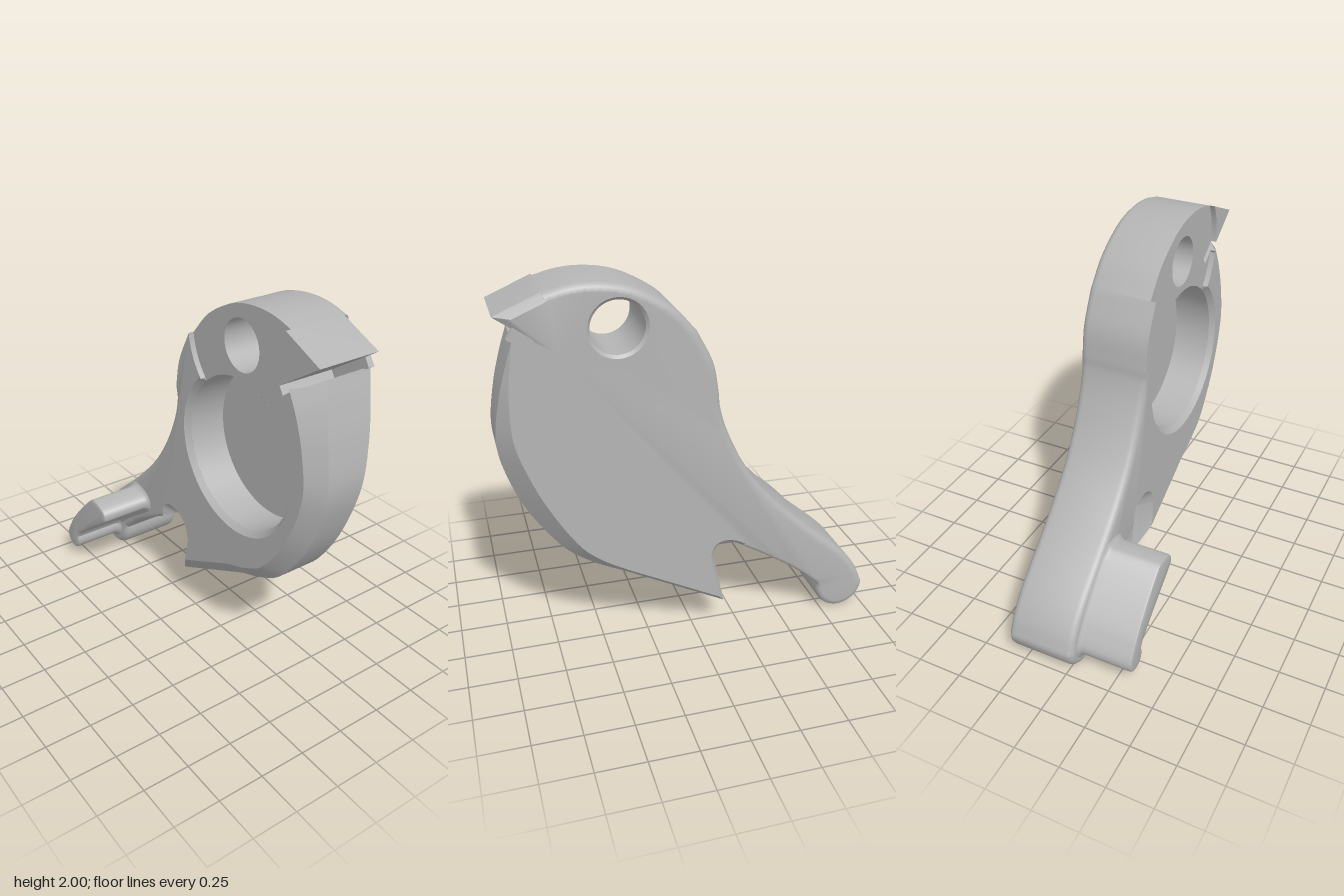
import * as THREE from 'three';
import { mergeGeometries, toCreasedNormals } from 'three/addons/utils/BufferGeometryUtils.js';

const FRONT = 0.04, BACK = -0.345, SUNK = 0.01, SLOT_FLOOR = -0.31;
const V = (x, y, z) => new THREE.Vector3(x, y, z);

// Points on an arc at depth z, angles in degrees
function arc([cx, cy], r, a0, a1, z, n = 24) {
  return Array.from({ length: n + 1 }, (_, i) => {
    const a = THREE.MathUtils.degToRad(a0 + (a1 - a0) * i / n);
    return V(cx + r * Math.cos(a), cy + r * Math.sin(a), z);
  });
}

// Surface through rings listed front to back (counter-clockwise rings face outward)
function loft(rings) {
  const pos = [];
  for (let k = 0; k + 1 < rings.length; k++) {
    const p = rings[k], q = rings[k + 1];
    for (let i = 0; i + 1 < p.length; i++) {
      for (const t of [[p[i], q[i], p[i + 1]], [p[i + 1], q[i], q[i + 1]]]) {
        const area = t[1].clone().sub(t[0]).cross(t[2].clone().sub(t[0])).length();
        if (area > 1e-9) t.forEach(v => pos.push(v.x, v.y, v.z));
      }
    }
  }
  return new THREE.BufferGeometry().setAttribute('position', new THREE.Float32BufferAttribute(pos, 3));
}

// Flat face inside a loop of points
function cap(points, z, holes = [], facingBack = false) {
  const clean = points.filter((p, i) => {
    const q = points[(i + 1) % points.length];
    return Math.hypot(p.x - q.x, p.y - q.y) > 1e-5;
  });
  const shape = new THREE.Shape(clean.map(p => new THREE.Vector2(p.x, p.y)));
  shape.holes = holes.map(h => new THREE.Path(h.map(p => new THREE.Vector2(p.x, p.y))));
  const g = new THREE.ShapeGeometry(shape);
  if (facingBack) g.index.array.reverse();
  return g.translate(0, 0, z);
}

// Merge pieces and keep hard edges sharp
function solid(name, pieces, material) {
  const plain = pieces.map(g => {
    const n = g.index ? g.toNonIndexed() : g;
    n.deleteAttribute('uv');
    n.deleteAttribute('normal');
    return n;
  });
  const mesh = new THREE.Mesh(toCreasedNormals(mergeGeometries(plain), 0.62), material);
  mesh.name = name;
  return mesh;
}

// Smooth run through [x, y, front inset, back inset]; n = 0 keeps the points as they are
function run(pts, n, round = false, top = FRONT) {
  const make = j => new THREE.CatmullRomCurve3(pts.map(p => V(p[0], p[1], p[j] ?? 0)), false, 'catmullrom', 0.5);
  const cf = make(2), cb = make(3), steps = n || pts.length - 1;
  return Array.from({ length: steps + 1 }, (_, i) => {
    const p = cf.getPoint(i / steps), b = cb.getPoint(i / steps);
    return { x: p.x, y: p.y, f: Math.max(0, p.z), b: Math.max(0, b.z), round, top };
  });
}

// Mitred inward directions round a closed outline
function addInward(o) {
  const N = o.length;
  const step = (i, s) => {
    let j = i;
    do j = (j + s + N) % N; while (Math.hypot(o[j].x - o[i].x, o[j].y - o[i].y) < 1e-5);
    return new THREE.Vector2(o[j].x - o[i].x, o[j].y - o[i].y).normalize();
  };
  o.forEach((p, i) => {
    const d1 = step(i, -1).negate(), d2 = step(i, 1);
    const k = Math.max(0.3, 1 + d1.dot(d2));
    p.inward ??= [-(d1.y + d2.y) / k, (d1.x + d2.x) / k];
  });
}
const inset = (p, d, z) => V(p.x + p.inward[0] * d, p.y + p.inward[1] * d, z);

export function createModel() {
  const grey = new THREE.MeshStandardMaterial({ color: 0xb4b4b4, side: THREE.DoubleSide });
  grey.name = 'grey';
  const group = new THREE.Group();
  group.name = 'lever';

  // Outline runs, counter-clockwise from the left of the head
  const armTop = run([[-0.005, 1.72, 0, 0.04], [-0.09, 1.55, 0, 0.04], [-0.12, 1.4, 0, 0.04], [-0.13, 1.31, 0.03, 0.04],
    [-0.17, 1.175, 0.04, 0.04], [-0.26, 0.985, 0.04, 0.04], [-0.39, 0.8, 0.04, 0.04], [-0.6, 0.59, 0.04, 0.04],
    [-0.84, 0.38, 0.04, 0.04], [-0.95, 0.25, 0.04, 0.04], [-1, 0.14, 0.035, 0.035]], 60, true);
  const armEnd = arc([-0.86, 0.14], 0.14, 180, 370, 0, 24)
    .map(p => ({ x: p.x, y: p.y, f: 0.035, b: 0.03, round: true, top: FRONT }));
  const armUnder = run([[-0.722, 0.164, 0.03, 0.025], [-0.58, 0.29, 0.025, 0.02], [-0.4, 0.41, 0.02, 0.02],
    [-0.27, 0.488, 0.02, 0.02]], 18, true);
  const notch = run([[-0.27, 0.488, 0.02, 0.02], [-0.22, 0.514, 0.075, 0.02], [-0.165, 0.525, 0.08, 0.02],
    [-0.12, 0.505, 0.08, 0.02], [-0.103, 0.455, 0.08, 0.02]], 20);
  const spur = run([[-0.103, 0.455, 0.08, 0.02], [-0.165, 0.155, 0.08, 0.02], [0.38, 0.435, 0.08, 0.02]], 0);
  const belly = run([[0.38, 0.435, 0.08, 0.02], [0.55, 0.505, 0.08, 0.05], [0.7, 0.605, 0.08, 0.085],
    [0.86, 0.825, 0.08, 0.105], [0.955, 1.05, 0.08, 0.1], [0.99, 1.24, 0.08, 0.08], [0.965, 1.45, 0.085, 0.045],
    [0.925, 1.62, 0.1, 0.02], [0.885, 1.756, 0.125, 0]], 56);
  belly[belly.length - 1].inward = [-0.837, -0.547];
  const slotIn = run([[0.778, 1.686], [0.778, 1.686]], 0);
  const slotEnd = run([[0.778, 1.686], [0.7, 1.635], [0.675, 1.675], [0.778, 1.742]], 0, false, SUNK);
  const beak = run([[0.778, 1.742, 0, 0], [0.965, 1.865, 0, 0.04], [0.734, 1.965, 0, 0.04]], 0);
  const headTop = run([[0.734, 1.965, 0, 0.04], [0.63, 1.991, 0, 0.04], [0.52, 2, 0, 0.04], [0.39, 1.986, 0, 0.04],
    [0.27, 1.945, 0, 0.04], [0.115, 1.85, 0, 0.04], [-0.005, 1.72, 0, 0.04]], 40, true, SUNK);

  const lower = [...armTop, ...armEnd, ...armUnder, ...notch, ...spur, ...belly, ...slotIn];
  const outline = [...lower, ...slotEnd, ...beak, ...headTop];
  addInward(outline);

  // Edge profile: flat chamfer or quarter round, t from face (0) to side wall (1)
  const edge = (p, t) => p.round
    ? [1 - Math.sin(t * Math.PI / 2), 1 - Math.cos(t * Math.PI / 2)] : [1 - t, t];
  const ring = (t, back) => {
    const pts = outline.map(p => {
      const [d, h] = edge(p, t);
      return back ? inset(p, p.b * d, BACK + p.b * h) : inset(p, p.f * d, p.top - p.f * h);
    });
    return [...pts, pts[0]];
  };
  const ts = [0, 1 / 3, 2 / 3, 1];
  const rings = [...ts.map(t => ring(t, false)), ...ts.slice().reverse().map(t => ring(t, true))];

  // Head recess, pivot hole and round pocket
  const headC = [0.385, 1.78], holeC = [0.388, 1.775], pocketC = [0.385, 1.19];
  const recess = (a0, a1, z) => arc(headC, 0.395, a0, a1, z);
  const wall = (a0, a1) => loft([recess(a0, a1, FRONT), recess(a0, a1, SUNK)]);
  const circle = (c, r, z) => arc(c, r, 360, 0, z, 64);
  const holeLoop = r => circle(holeC, r, 0).slice(0, -1);

  const mainFace = [...lower.map(p => inset(p, p.f, 0)), ...recess(-14.5, -42.2, 0),
    ...arc(pocketC, 0.437, 48, -228, 0, 64), ...recess(222.2, 188.8, 0)];
  const beakFace = [...beak, ...recess(28, -5.5, 0)];
  const sunkFace = [...recess(188.8, 224, 0), ...arc(pocketC, 0.41, 132, 48, 0), ...recess(-44, -14.5, 0),
    ...slotEnd, ...recess(-5.5, 28, 0), ...headTop];

  const slotPlate = new THREE.BoxGeometry(0.25, 0.06, SLOT_FLOOR - BACK)
    .rotateZ(0.579).translate(0.79, 1.722, (SLOT_FLOOR + BACK) / 2);

  group.add(solid('body', [
    loft(rings),
    cap(mainFace, FRONT), cap(beakFace, FRONT), cap(sunkFace, SUNK, [holeLoop(0.135)]),
    cap(rings[rings.length - 1].slice(0, -1), BACK, [holeLoop(0.15)], true),
    wall(224, 188.8), wall(-14.5, -43), wall(28, -5.5),
    loft([circle(holeC, 0.135, SUNK), circle(holeC, 0.135, BACK + 0.015), circle(holeC, 0.15, BACK)]),
    slotPlate,
  ], grey));

  // Pocket with chamfered rim
  group.add(solid('pocket', [
    loft([arc(pocketC, 0.437, 48, -228, FRONT, 64), arc(pocketC, 0.41, 48, -228, SUNK, 64)]),
    loft([circle(pocketC, 0.41, SUNK), circle(pocketC, 0.41, -0.2)]),
    cap(circle(pocketC, 0.41, 0), -0.2),
  ], grey));

  // Thumb peg on the arm, flared at its foot
  const peg = [
    ...arc([-0.86, 0.14], 0.068, 150, 385, 0, 20).map(p => ({ x: p.x, y: p.y })),
    ...run([[-0.785, 0.2], [-0.65, 0.31], [-0.47, 0.44], [-0.437, 0.485], [-0.457, 0.53], [-0.54, 0.553],
      [-0.6, 0.54], [-0.72, 0.43], [-0.84, 0.295], [-0.905, 0.2]], 40)];
  addInward(peg);
  const pegRings = [[0.015, 0.345], [0.004, 0.34], [0, 0.33], [0, 0.07], [-0.008, 0.05], [-0.025, 0.039]]
    .map(([d, z]) => { const r = peg.map(p => inset(p, d, z)); return [...r, r[0]]; });
  group.add(solid('peg', [loft(pegRings), cap(pegRings[0].slice(0, -1), 0.345)], grey));

  return group;
}
